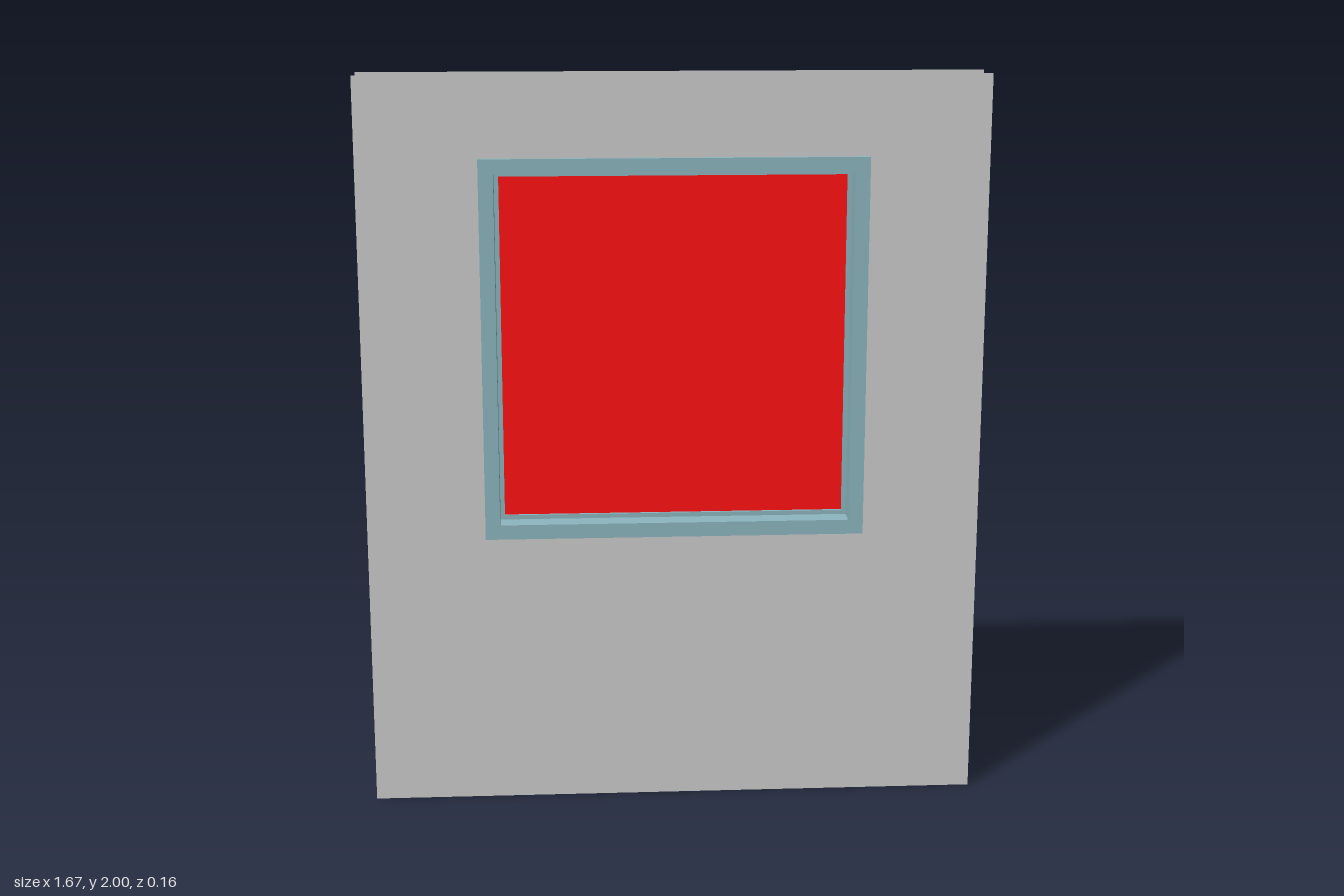
import * as THREE from 'three';

const CENTER_Y = 1.27; // height of the window centre

const rectangle = (Type, halfW, y0, y1) => new Type([
  new THREE.Vector2(-halfW, y0), new THREE.Vector2(halfW, y0),
  new THREE.Vector2(halfW, y1), new THREE.Vector2(-halfW, y1),
]);

const square = (Type, half) => rectangle(Type, half, CENTER_Y - half, CENTER_Y + half);

// Square ring extruded symmetrically about z = 0
function ring(outer, inner, depth) {
  const shape = square(THREE.Shape, outer);
  shape.holes.push(square(THREE.Path, inner));
  const geometry = new THREE.ExtrudeGeometry(shape, { depth, bevelEnabled: false });
  return geometry.translate(0, 0, -depth / 2);
}

export function createModel() {
  const model = new THREE.Group();
  model.name = 'wallWindow';

  const wallMaterial = new THREE.MeshStandardMaterial({ color: 0xcccccc, side: THREE.DoubleSide });
  const frameMaterial = new THREE.MeshStandardMaterial({ color: 0x8cb5c0 });
  const paneMaterial = new THREE.MeshStandardMaterial({ color: 0xff1212 });

  const add = (name, geometry, material) => {
    const mesh = new THREE.Mesh(geometry, material);
    mesh.name = name;
    model.add(mesh);
    return mesh;
  };

  // Two thin wall skins with an opening for the window
  const wall = rectangle(THREE.Shape, 0.835, 0, 2);
  wall.holes.push(square(THREE.Path, 0.515));
  const wallGeometry = new THREE.ShapeGeometry(wall);
  add('frontWall', wallGeometry, wallMaterial).position.z = 0.062;
  const back = add('backWall', wallGeometry, wallMaterial);
  back.position.z = -0.062;
  back.rotation.y = Math.PI;

  // Deep outer frame and the narrow stop that holds the pane
  add('windowFrame', ring(0.515, 0.475, 0.156), frameMaterial);
  add('paneStop', ring(0.475, 0.463, 0.04), frameMaterial);

  // Window pane
  add('windowPane', new THREE.BoxGeometry(0.93, 0.93, 0.024).translate(0, CENTER_Y, 0), paneMaterial);

  return model;
}
